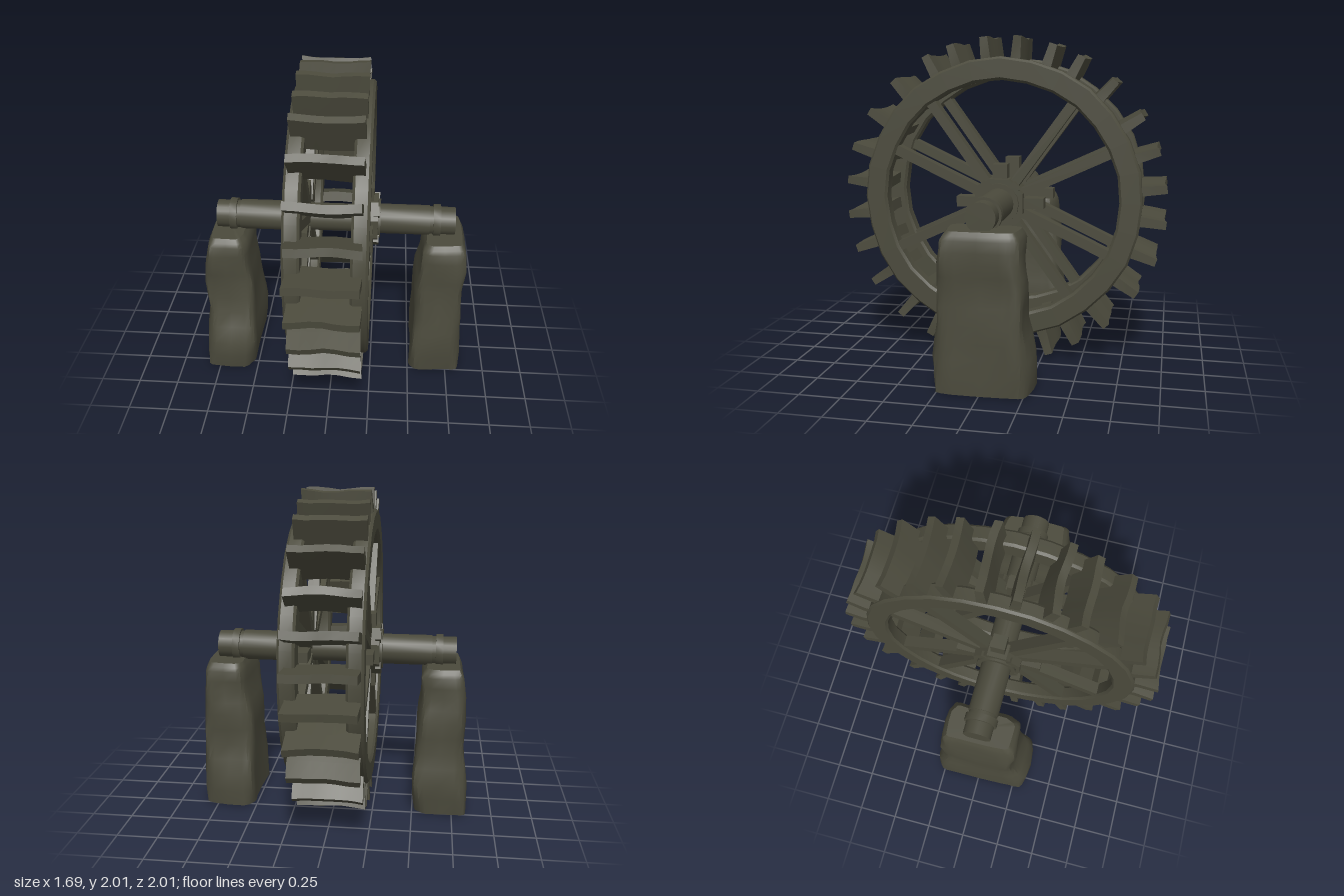
import * as THREE from 'three';
import { toCreasedNormals } from 'three/addons/utils/BufferGeometryUtils.js';

const AXLE_Y = 1.0;
const deg = Math.PI / 180;

export function createModel() {
  const weathered = new THREE.MeshStandardMaterial({ color: 0x4b4a3c });
  weathered.name = 'weathered grey brown';
  const root = new THREE.Group();
  root.name = 'waterWheel';

  const add = (parent, name, geometry) => {
    const mesh = new THREE.Mesh(geometry, weathered);
    mesh.name = name;
    parent.add(mesh);
    return mesh;
  };

  // Seeded random for hewn irregularity
  let seed = 7;
  const rnd = () => {
    seed = (seed * 16807) % 2147483647;
    return seed / 2147483647 - 0.5;
  };

  // Cylinder lying along x
  const barrel = (r0, r1, length, sides) =>
    toCreasedNormals(new THREE.CylinderGeometry(r1, r0, length, sides).rotateZ(-Math.PI / 2), 0.6);

  // Move each vertex of a geometry by a rule
  const shape = (geometry, rule) => {
    const p = geometry.attributes.position;
    const v = new THREE.Vector3();
    for (let i = 0; i < p.count; i++) {
      rule(v.fromBufferAttribute(p, i));
      p.setXYZ(i, v.x, v.y, v.z);
    }
    return toCreasedNormals(geometry, 0.5);
  };

  // Wheel, turning about the x axis
  const wheel = new THREE.Group();
  wheel.name = 'wheel';
  wheel.position.y = AXLE_Y;
  root.add(wheel);

  for (const side of [-1, 1]) {
    // Rim: chamfered band, slightly uneven
    const profile = [
      [0.725, -0.035], [0.74, -0.05], [0.85, -0.05], [0.863, -0.035],
      [0.863, 0.035], [0.85, 0.05], [0.74, 0.05], [0.725, 0.035], [0.725, -0.035],
    ].map(([r, h]) => new THREE.Vector2(r, h));
    const ring = new THREE.LatheGeometry(profile, 28).rotateZ(-Math.PI / 2);
    const rim = add(wheel, 'rim', shape(ring, (v) => {
      const a = Math.atan2(v.z, v.y);
      const k = 1 + 0.004 * Math.sin(a * 9 + side);
      v.y *= k;
      v.z *= k;
    }));
    rim.position.set(side * 0.188, 0.015, 0);

    // Spokes in four mirrored pairs
    for (const t of [36, 65, 115, 144]) {
      for (const m of [-1, 1]) {
        const beam = new THREE.BoxGeometry(0.075, 0.66, 0.06);
        beam.translate(0, 0.43, 0);
        const spoke = add(wheel, 'spoke', beam);
        spoke.position.x = side * 0.185;
        spoke.rotation.x = m * t * deg;
      }
    }

    // Hub plate with wedge blocks
    const flange = add(wheel, 'hubFlange', barrel(0.16, 0.16, 0.1, 8));
    flange.position.x = side * 0.225;
    flange.rotation.x = 22.5 * deg;
    add(wheel, 'hubCollar', barrel(0.125, 0.125, 0.03, 16)).position.x = side * 0.275;
    for (let i = 0; i < 4; i++) {
      const geo = new THREE.BoxGeometry(0.09, 0.14, i % 2 ? 0.065 : 0.09);
      geo.translate(0, i % 2 ? 0.2 : 0.165, 0);
      const block = add(wheel, 'hubBlock', geo);
      block.position.x = side * 0.2;
      block.rotation.x = i * 90 * deg;
    }
    // Small studs around the hub plate
    for (let i = 0; i < 4; i++) {
      const geo = new THREE.BoxGeometry(0.035, 0.05, 0.06);
      geo.translate(0, 0.14, 0);
      const stud = add(wheel, 'hubStud', geo);
      stud.position.x = side * 0.265;
      stud.rotation.x = (45 + i * 90) * deg;
    }
  }

  // Paddles: tapered boards with worn outer edges
  const paddleAngles = [6, 18, 28.5, 42.5, 57.5, 71, 84, 96.5, 109.5, 123.5, 139, 152, 162, 174];
  for (const t of paddleAngles) {
    for (const m of [-1, 1]) {
      const phase = rnd() * 6;
      const bow = rnd() * 0.02;
      const board = new THREE.BoxGeometry(0.42, 0.24, 0.06, 6, 2, 1);
      const paddle = add(wheel, 'paddle', shape(board, (v) => {
        const u = v.x / 0.21;
        const out = (v.y + 0.12) / 0.24;
        v.z *= 1.15 - 0.35 * out;
        v.z += 0.006 * Math.sin(u * 3 + phase) + bow * (u * u - 0.5);
        if (out > 0.9) v.y += 0.012 * (Math.abs(u) - 1) + 0.004 * Math.sin(u * 5 + phase);
        v.x += 0.006 * Math.sin(out * 4 + phase);
        v.y += 0.885;
      }));
      paddle.position.x = -0.008;
      paddle.rotation.x = m * t * deg;
    }
  }

  // Axle with end bands
  const axle = add(root, 'axle', barrel(0.088, 0.088, 1.51, 20));
  axle.position.set(0.005, AXLE_Y, 0);
  for (const side of [-1, 1]) {
    const sleeve = add(root, 'axleSleeve', barrel(0.095, 0.095, 0.34, 20));
    sleeve.position.set(side * 0.43, AXLE_Y, 0);
    const band = add(root, 'axleBand', barrel(0.103, 0.103, 0.045, 20));
    band.position.set(side * 0.645, AXLE_Y, 0);
  }

  // Rough standing stone, lofted from levels of [y, xMin, xMax, zMin, zMax]
  const stone = (levels, phase) => {
    const N = 28;
    const pos = [];
    const index = [];
    const point = (lv, a, shrink) => {
      const [y, x0, x1, z0, z1] = lv;
      const c = Math.cos(a), s = Math.sin(a);
      const box = (w) => Math.sign(w) * Math.pow(Math.abs(w), 0.42);
      const dent = 1 + 0.03 * Math.sin(3 * a + y * 7 + phase) + 0.022 * Math.sin(7 * a - y * 13 + phase * 2);
      // Broad faces are hollowed a little across the middle
      const waist = 1 - 0.1 * Math.pow(Math.abs(c), 6);
      pos.push(
        (x0 + x1) / 2 + box(c) * (x1 - x0) / 2 * dent * waist * shrink,
        y,
        (z0 + z1) / 2 + box(s) * (z1 - z0) / 2 * dent * shrink,
      );
    };
    const rings = [];
    for (let i = 0; i < levels.length - 1; i++) {
      for (const f of [0, 0.5]) {
        rings.push(levels[i].map((v, k) => v + (levels[i + 1][k] - v) * f));
      }
    }
    rings.push(levels[levels.length - 1]);
    rings.forEach((lv, i) => {
      const end = i === 0 || i === rings.length - 1;
      for (let j = 0; j < N; j++) point(lv, (j / N) * Math.PI * 2, end ? 0.97 : 1);
    });
    for (let i = 0; i < rings.length - 1; i++) {
      for (let j = 0; j < N; j++) {
        const a = i * N + j, b = i * N + (j + 1) % N;
        index.push(a, a + N, b, b, a + N, b + N);
      }
    }
    // Caps
    for (const [lv, start, top] of [[rings[0], 0, false], [rings[rings.length - 1], (rings.length - 1) * N, true]]) {
      const centre = pos.length / 3;
      pos.push((lv[1] + lv[2]) / 2, lv[0], (lv[3] + lv[4]) / 2);
      for (let j = 0; j < N; j++) {
        const a = start + j, b = start + (j + 1) % N;
        if (top) index.push(centre, b, a);
        else index.push(centre, a, b);
      }
    }
    const geo = new THREE.BufferGeometry();
    geo.setAttribute('position', new THREE.Float32BufferAttribute(pos, 3));
    geo.setIndex(index);
    return toCreasedNormals(geo, 0.8);
  };

  add(root, 'leftStone', stone([
    [0, 0.49, 0.86, -0.29, 0.28], [0.2, 0.5, 0.85, -0.29, 0.28], [0.4, 0.51, 0.85, -0.25, 0.25],
    [0.6, 0.51, 0.84, -0.25, 0.24], [0.75, 0.54, 0.85, -0.23, 0.25], [0.88, 0.55, 0.84, -0.23, 0.24],
    [0.93, 0.57, 0.82, -0.21, 0.21],
  ], 0.6));
  add(root, 'rightStone', stone([
    [0, -0.86, -0.5, -0.29, 0.33], [0.2, -0.85, -0.48, -0.3, 0.33], [0.4, -0.83, -0.5, -0.25, 0.26],
    [0.6, -0.84, -0.51, -0.25, 0.24], [0.75, -0.83, -0.53, -0.23, 0.25], [0.88, -0.81, -0.53, -0.23, 0.24],
    [0.93, -0.79, -0.56, -0.21, 0.21],
  ], 2.4));

  return root;
}
